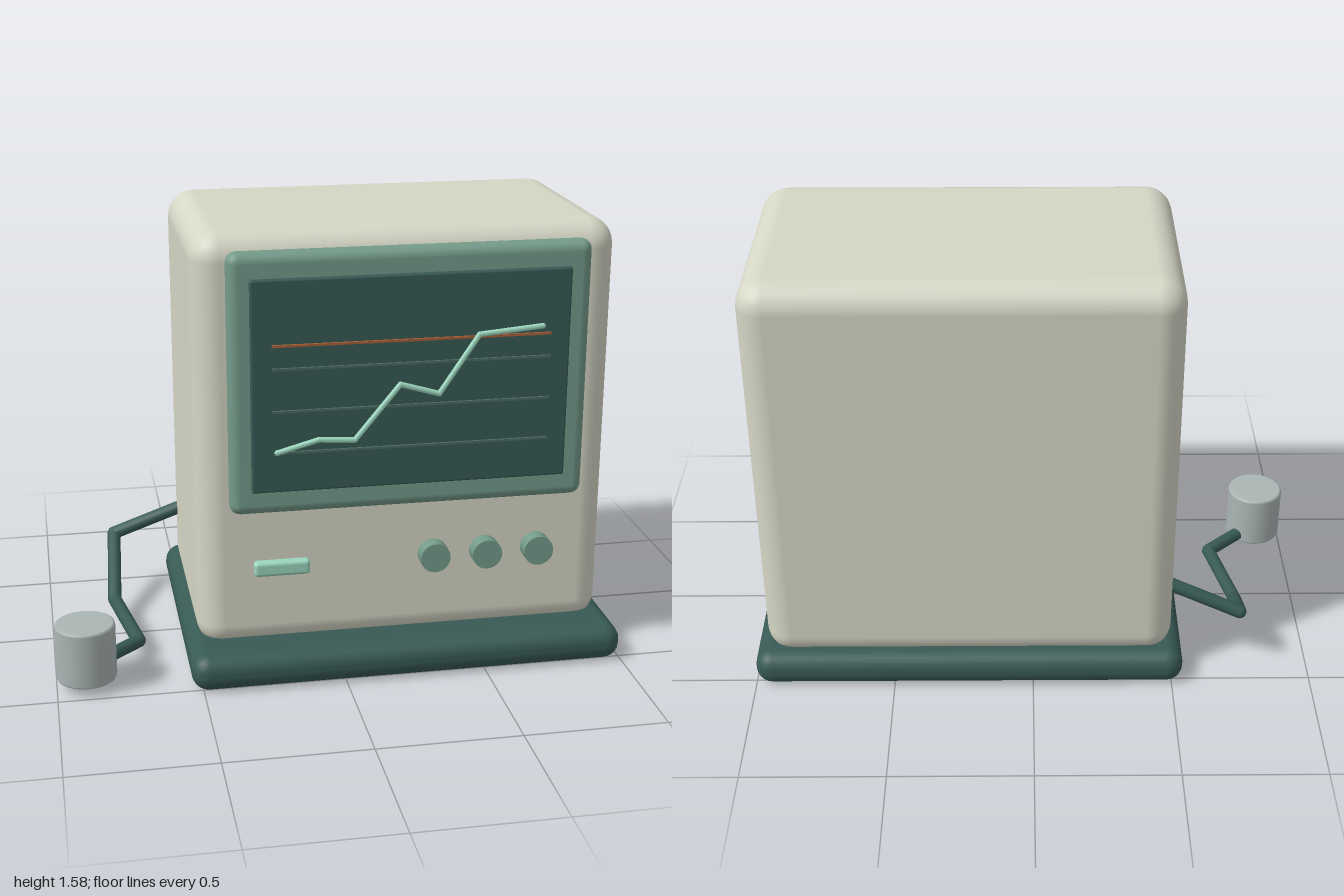
import * as THREE from 'three';
import { RoundedBoxGeometry } from 'three/addons/geometries/RoundedBoxGeometry.js';

const paint = (name, color) => {
  const m = new THREE.MeshStandardMaterial({ color });
  m.name = name;
  return m;
};

export function createModel() {
  const model = new THREE.Group();
  model.name = 'benchMonitor';

  const cream = paint('cream', 0xd6d6c6);
  const darkGreen = paint('dark green', 0x385a55);
  const sage = paint('sage', 0x749b8a);
  const mint = paint('mint', 0x9bd6bd);
  const gridGreen = paint('grid green', 0x4c6b60);
  const rust = paint('rust', 0xa8603a);
  const grey = paint('grey', 0xabb6b4);

  const add = (name, geometry, material, parent = model) => {
    const mesh = new THREE.Mesh(geometry, material);
    mesh.name = name;
    parent.add(mesh);
    return mesh;
  };
  // Rounded box given by its minimum and maximum corners
  const block = (name, a, b, radius, material, segments = 3, parent = model) => {
    const size = a.map((v, i) => b[i] - v);
    const mesh = add(name, new RoundedBoxGeometry(...size, segments, radius), material, parent);
    mesh.position.set(...a.map((v, i) => (v + b[i]) / 2));
    return mesh;
  };
  // Rods joined by balls along a list of points
  const rods = (name, points, radius, sides, material) => {
    const group = new THREE.Group();
    group.name = name;
    model.add(group);
    const pts = points.map((p) => new THREE.Vector3(...p));
    pts.forEach((p, i) => {
      add(name + 'Joint', new THREE.SphereGeometry(radius, sides, 8), material, group).position.copy(p);
      if (i === 0) return;
      const dir = p.clone().sub(pts[i - 1]);
      const rod = add(name + 'Segment',
        new THREE.CylinderGeometry(radius, radius, dir.length(), sides), material, group);
      rod.position.copy(p).add(pts[i - 1]).multiplyScalar(0.5);
      rod.quaternion.setFromUnitVectors(new THREE.Vector3(0, 1, 0), dir.normalize());
    });
  };

  // Housing
  block('base', [-0.54, 0, -0.545], [1, 0.13, 0.545], 0.06, darkGreen);
  block('body', [-0.5, 0.085, -0.485], [0.96, 1.575, 0.39], 0.095, cream, 4);

  // Display
  block('bezel', [-0.39, 0.615, 0.375], [0.848, 1.525, 0.455], 0.037, sage);
  block('screen', [-0.318, 0.703, 0.43], [0.772, 1.44, 0.472], 0.008, darkGreen, 2);
  const line = (name, y, material) => {
    add(name, new THREE.BoxGeometry(0.95, 0.008, 0.009), material).position.set(0.228, y, 0.476);
  };
  [0.845, 0.99, 1.137].forEach((y) => line('gridLine', y, gridGreen));
  line('limitLine', 1.217, rust);
  rods('trace', [
    [-0.233, 0.85], [-0.094, 0.888], [0.03, 0.88], [0.184, 1.067],
    [0.318, 1.027], [0.452, 1.227], [0.67, 1.246],
  ].map(([x, y]) => [x, y, 0.485]), 0.01, 8, mint);

  // Controls
  [0.325, 0.511, 0.697].forEach((x) => {
    const knob = add('knob', new THREE.CylinderGeometry(0.053, 0.053, 0.055, 24), sage);
    knob.rotation.x = Math.PI / 2;
    knob.position.set(x, 0.418, 0.438);
  });
  block('indicator', [-0.31, 0.384, 0.41], [-0.115, 0.438, 0.45], 0.014, mint);

  // Side vents
  for (let i = 0; i < 6; i++) {
    const y = 0.449 + i * 0.138;
    block('vent', [0.945, y - 0.015, -0.25], [0.967, y + 0.015, 0.172], 0.006, darkGreen, 2);
  }

  // Cable and the sensor on its end
  rods('cable', [
    [-0.45, 0.355, -0.375], [-0.745, 0.235, -0.41], [-0.765, 0.08, -0.13],
    [-0.7, 0.062, 0.2], [-0.86, 0.062, 0.345],
  ], 0.025, 12, darkGreen);
  const profile = [[0, 0], [0.096, 0], [0.102, 0.003], [0.105, 0.01],
    [0.105, 0.196], [0.102, 0.203], [0.096, 0.206], [0, 0.206]];
  add('sensor', new THREE.LatheGeometry(profile.map((p) => new THREE.Vector2(...p)), 32), grey)
    .position.set(-0.895, 0.03, 0.385);

  return model;
}
